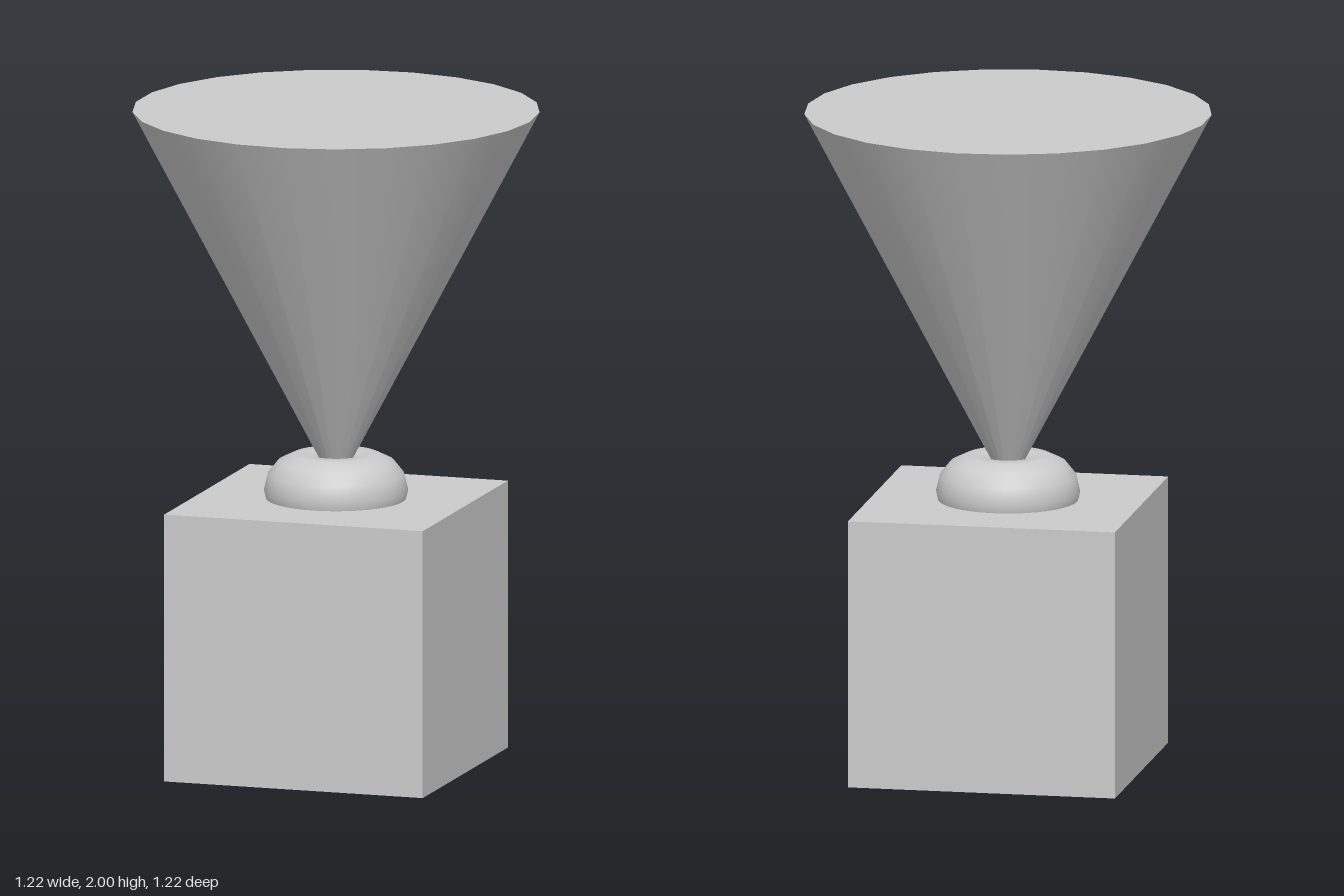
import * as THREE from 'three';

export function createModel() {
  const model = new THREE.Group();
  const material = new THREE.MeshStandardMaterial({ color: 0xcccccc });

  const add = (name, geometry, y) => {
    const mesh = new THREE.Mesh(geometry, material);
    mesh.name = name;
    // The odd-sided cone reaches a little further on +x, so the axis sits just off centre
    mesh.position.set(-0.0025, y, 0);
    model.add(mesh);
  };

  // Cube base
  const side = 0.815;
  add('base', new THREE.BoxGeometry(side, side, side), side / 2);

  // Thick ring, half sunk into the base
  const ringY = 0.84;
  add('ring', new THREE.TorusGeometry(0.104, 0.112, 14, 40).rotateX(Math.PI / 2), ringY);

  // Inverted 25-sided cone with its tip in the ring, one corner towards +x
  const height = 2 - ringY;
  add('cone', new THREE.CylinderGeometry(0.611, 0, height, 25, 1, false, Math.PI / 2), ringY + height / 2);

  return model;
}
